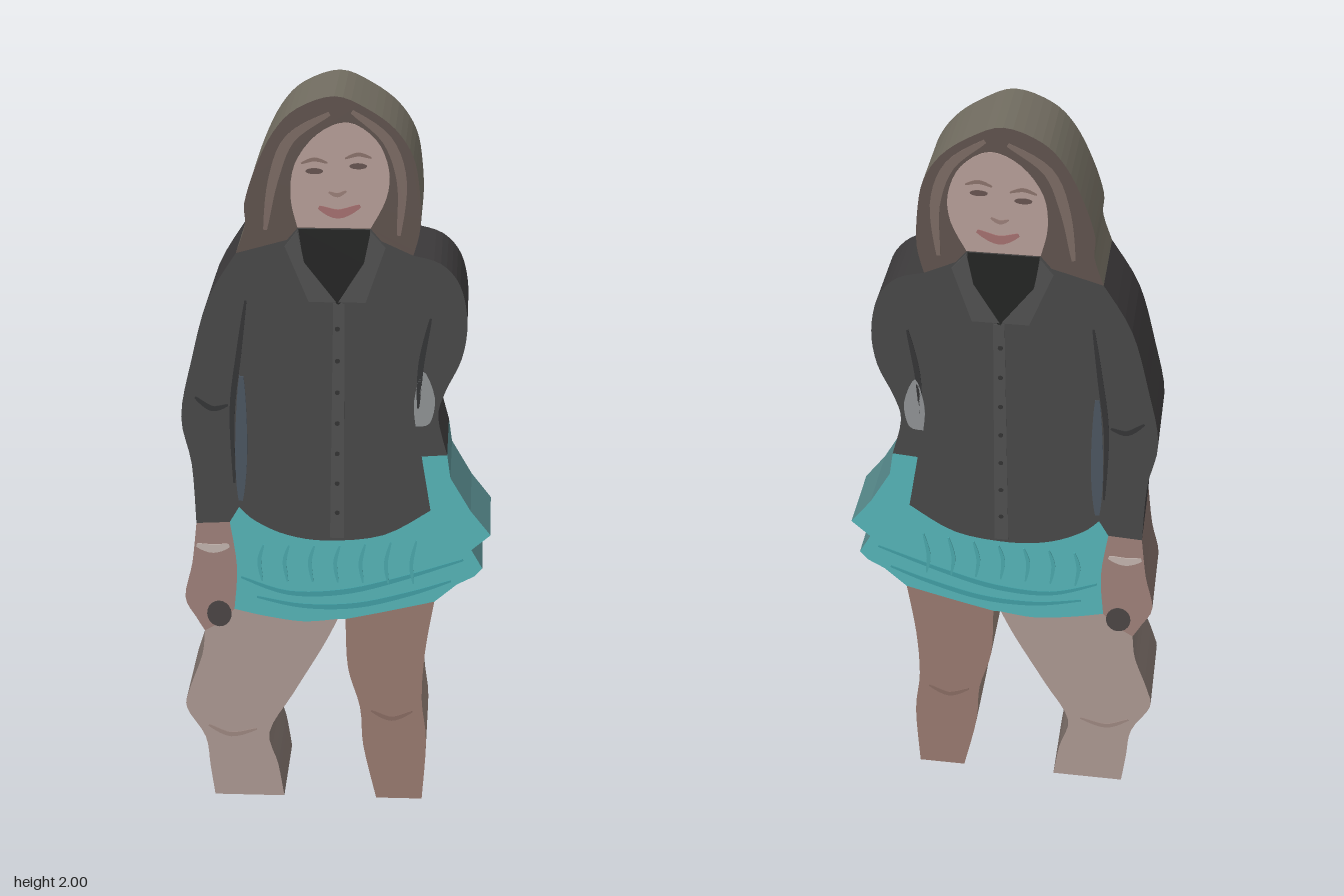
import * as THREE from 'three';

const BACK = -0.115;
const frontZ = (x, y) => 0.1 - 0.04 * x - 0.01 * y;
const V = (pts) => pts.map(([x, y]) => new THREE.Vector2(x, y));
const smooth = (pts, n = 4) => new THREE.SplineCurve(V(pts)).getPoints((pts.length - 1) * n);
const rev = (pts) => [...pts].reverse();

// Join edges into one loop, dropping repeated corners
function loop(...edges) {
  const out = [];
  for (const p of edges.flat()) {
    if (!out.length || out[out.length - 1].distanceTo(p) > 1e-5) out.push(p);
  }
  if (out[0].distanceTo(out[out.length - 1]) < 1e-5) out.pop();
  return out;
}

// Outline extruded through the slab; lift raises it slightly from front and back
function slab(name, pts, color, sideColor = color, lift = 0) {
  const g = new THREE.ExtrudeGeometry(new THREE.Shape(pts), { depth: 1, bevelEnabled: false, steps: 1 });
  const p = g.attributes.position;
  for (let i = 0; i < p.count; i++) {
    p.setZ(i, p.getZ(i) > 0.5 ? frontZ(p.getX(i), p.getY(i)) + lift : BACK - lift);
  }
  g.computeVertexNormals();
  const mats = [color, sideColor].map((c) => new THREE.MeshStandardMaterial({ color: c }));
  const mesh = new THREE.Mesh(g, mats);
  mesh.name = name;
  return mesh;
}

// Tapered ribbon along a curve, used for creases, strands and trims
function ribbon(pts, width) {
  const c = smooth(pts, 5), a = [], b = [];
  c.forEach((p, i) => {
    const d = c[Math.min(i + 1, c.length - 1)].clone().sub(c[Math.max(i - 1, 0)]).normalize();
    const w = width * (0.35 + 0.65 * Math.sin((Math.PI * i) / (c.length - 1))) / 2;
    a.push(new THREE.Vector2(p.x - d.y * w, p.y + d.x * w));
    b.push(new THREE.Vector2(p.x + d.y * w, p.y - d.x * w));
  });
  return loop(a, rev(b));
}

const oval = (x, y, rx, ry) => new THREE.EllipseCurve(x, y, rx, ry).getPoints(20).slice(0, 20);

export function createModel() {
  const model = new THREE.Group();
  const add = (...args) => model.add(slab(...args));

  // Borders shared by neighbouring parts
  const shoulderLine = V([[-0.23, 1.62], [-0.11, 1.655], [-0.085, 1.685], [0.085, 1.685], [0.11, 1.655], [0.185, 1.62]]);
  const cuff = V([[-0.35, 0.88], [-0.265, 0.885]]);
  const shirtHem = loop(
    V([[-0.265, 0.885], [-0.24, 0.93]]),
    smooth([[-0.24, 0.93], [-0.2, 0.89], [-0.12, 0.85], [-0.015, 0.835], [0.127, 0.855], [0.243, 0.93]]),
    V([[0.217, 1.085], [0.28, 1.09]]));
  const handEdge = smooth([[-0.265, 0.885], [-0.25, 0.75], [-0.26, 0.62]]);
  const thighTop = V([[-0.26, 0.62], [-0.3, 0.575], [-0.34, 0.55]]);
  const hemA = smooth([[-0.26, 0.62], [-0.18, 0.6], [-0.08, 0.585], [0.01, 0.595]]);
  const hemB = smooth([[0.03, 0.595], [0.13, 0.62], [0.26, 0.655]]);

  // Main parts
  const hair = smooth([[0.185, 1.62], [0.2, 1.69], [0.196, 1.78], [0.18, 1.86], [0.138, 1.925], [0.074, 1.972],
    [0, 2], [-0.085, 1.97], [-0.138, 1.915], [-0.18, 1.83], [-0.207, 1.745], [-0.207, 1.69], [-0.23, 1.62]]);
  add('hair', loop(shoulderLine, hair), 0x5f524d, 0x716c60);

  const rightSide = smooth([[0.28, 1.09], [0.255, 1.195], [0.27, 1.265], [0.307, 1.355], [0.317, 1.45],
    [0.297, 1.545], [0.25, 1.6], [0.185, 1.62]]);
  const leftSide = smooth([[-0.23, 1.62], [-0.3, 1.5], [-0.345, 1.34], [-0.376, 1.185], [-0.355, 1.05], [-0.35, 0.88]]);
  add('shirt', loop(cuff, shirtHem, rightSide, rev(shoulderLine), leftSide), 0x484848, 0x3c3a3b);

  const skirtSide = V([[0.26, 0.655], [0.317, 0.71], [0.36, 0.735], [0.38, 0.76], [0.35, 0.815], [0.397, 0.86],
    [0.344, 0.93], [0.29, 1.025], [0.28, 1.09]]);
  add('skirt', loop(handEdge, hemA, hemB, skirtSide, rev(shirtHem)), 0x55b3b6, 0x56898b);

  const handSide = smooth([[-0.34, 0.55], [-0.36, 0.59], [-0.387, 0.655], [-0.365, 0.76], [-0.35, 0.88]]);
  add('hand', loop(handSide, cuff, handEdge, thighTop), 0x9d8079, 0x7d6a64);

  const legOutside = smooth([[-0.34, 0.55], [-0.35, 0.47], [-0.387, 0.36], [-0.397, 0.295], [-0.35, 0.2], [-0.34, 0.1], [-0.33, 0]]);
  const legInside = smooth([[-0.138, 0], [-0.153, 0.11], [-0.175, 0.22], [-0.11, 0.35], [-0.03, 0.505], [0.01, 0.595]]);
  add('rightLeg', loop(legOutside, legInside, rev(hemA), thighTop), 0xab9791, 0x7f726c);

  const leg2Inside = smooth([[0.03, 0.595], [0.037, 0.44], [0.07, 0.31], [0.08, 0.18], [0.117, 0]]);
  const leg2Outside = smooth([[0.243, 0], [0.25, 0.2], [0.235, 0.34], [0.24, 0.495], [0.26, 0.655]]);
  add('leftLeg', loop(leg2Inside, leg2Outside, rev(hemB)), 0x97796f, 0x8f7c72);

  // Face and its features
  const jaw = smooth([[0.085, 1.687], [0.12, 1.76], [0.125, 1.83], [0.095, 1.9], [0.03, 1.94], [-0.04, 1.91],
    [-0.09, 1.84], [-0.1, 1.76], [-0.085, 1.687]]);
  add('face', jaw, 0xb59d97, 0xb59d97, 0.002);
  for (const [x, y] of [[-0.045, 1.825], [0.055, 1.838]]) {
    add('eye', oval(x, y, 0.02, 0.007), 0x665450, 0x665450, 0.004);
    add('eyebrow', ribbon([[x - 0.03, y + 0.018], [x, y + 0.028], [x + 0.03, y + 0.02]], 0.009), 0x8a726b, 0x8a726b, 0.004);
  }
  add('nose', ribbon([[-0.012, 1.775], [0.008, 1.768], [0.028, 1.778]], 0.01), 0x9a7f78, 0x9a7f78, 0.004);
  add('mouth', ribbon([[-0.035, 1.738], [0.01, 1.722], [0.06, 1.742]], 0.022), 0xa4706f, 0xa4706f, 0.004);
  for (const strand of [
    [[-0.01, 1.96], [-0.1, 1.9], [-0.14, 1.8], [-0.16, 1.68]],
    [[0.04, 1.965], [0.12, 1.9], [0.155, 1.8], [0.15, 1.67]],
  ]) add('hairStrand', ribbon(strand, 0.025), 0x7b6a63, 0x7b6a63, 0.002);

  // Shirt details: neck opening, collar, placket, buttons, creases
  add('neckOpening', V([[-0.083, 1.683], [-0.07, 1.59], [0.01, 1.49], [0.085, 1.59], [0.083, 1.683]]), 0x242524, 0x242524, 0.002);
  add('collar', V([[-0.085, 1.68], [-0.115, 1.64], [-0.06, 1.5], [0.005, 1.5], [-0.07, 1.6]]), 0x505050, 0x505050, 0.004);
  add('collar', V([[0.085, 1.68], [0.07, 1.6], [0.01, 1.5], [0.075, 1.5], [0.12, 1.64]]), 0x505050, 0x505050, 0.004);
  add('placket', V([[-0.01, 0.845], [0.025, 0.845], [0.025, 1.495], [-0.002, 1.495]]), 0x4f4f4f, 0x4f4f4f, 0.002);
  for (let i = 0; i < 7; i++) add('button', oval(0.008, 0.92 + i * 0.085, 0.006, 0.006), 0x333333, 0x333333, 0.004);
  for (const crease of [
    [[-0.21, 1.5], [-0.23, 1.36], [-0.25, 1.2], [-0.25, 1.0]],
    [[0.23, 1.46], [0.21, 1.34], [0.205, 1.22]],
    [[-0.34, 1.24], [-0.3, 1.21], [-0.26, 1.22]],
  ]) add('sleeveCrease', ribbon(crease, 0.014), 0x343536, 0x343536, 0.002);
  add('armGap', smooth([[0.2, 1.17], [0.235, 1.18], [0.245, 1.25], [0.215, 1.32], [0.195, 1.24], [0.2, 1.17]]).slice(0, -1),
    0x8f9294, 0x8f9294, 0.002);
  add('armGap', ribbon([[-0.235, 0.95], [-0.23, 1.1], [-0.225, 1.3]], 0.03), 0x4b5560, 0x4b5560, 0.003);

  // Skirt ruffles and pleats
  for (const tier of [
    [[-0.24, 0.72], [-0.12, 0.675], [0.02, 0.68], [0.16, 0.72], [0.33, 0.785]],
    [[-0.2, 0.66], [-0.08, 0.635], [0.06, 0.64], [0.2, 0.68], [0.3, 0.72]],
  ]) add('ruffle', ribbon(tier, 0.016), 0x419ea3, 0x419ea3, 0.002);
  for (let i = 0; i < 7; i++) {
    const x = -0.18 + i * 0.065;
    add('pleat', ribbon([[x, 0.82 + Math.max(0, x) * 0.1], [x - 0.012, 0.77], [x - 0.005, 0.71]], 0.01), 0x4aa7ab, 0x4aa7ab, 0.003);
  }

  // Wristband and ring on the hand, shading on the knees
  add('wristband', ribbon([[-0.352, 0.815], [-0.31, 0.805], [-0.268, 0.815]], 0.025), 0xc2b3ad, 0xc2b3ad, 0.002);
  add('heldObject', oval(-0.3, 0.605, 0.032, 0.04), 0x4b4544, 0x4b4544, 0.002);
  add('kneeShade', ribbon([[-0.34, 0.24], [-0.28, 0.21], [-0.21, 0.23]], 0.014), 0x9c8780, 0x9c8780, 0.002);
  add('kneeShade', ribbon([[0.1, 0.3], [0.155, 0.275], [0.21, 0.3]], 0.014), 0x886b62, 0x886b62, 0.002);

  return model;
}
